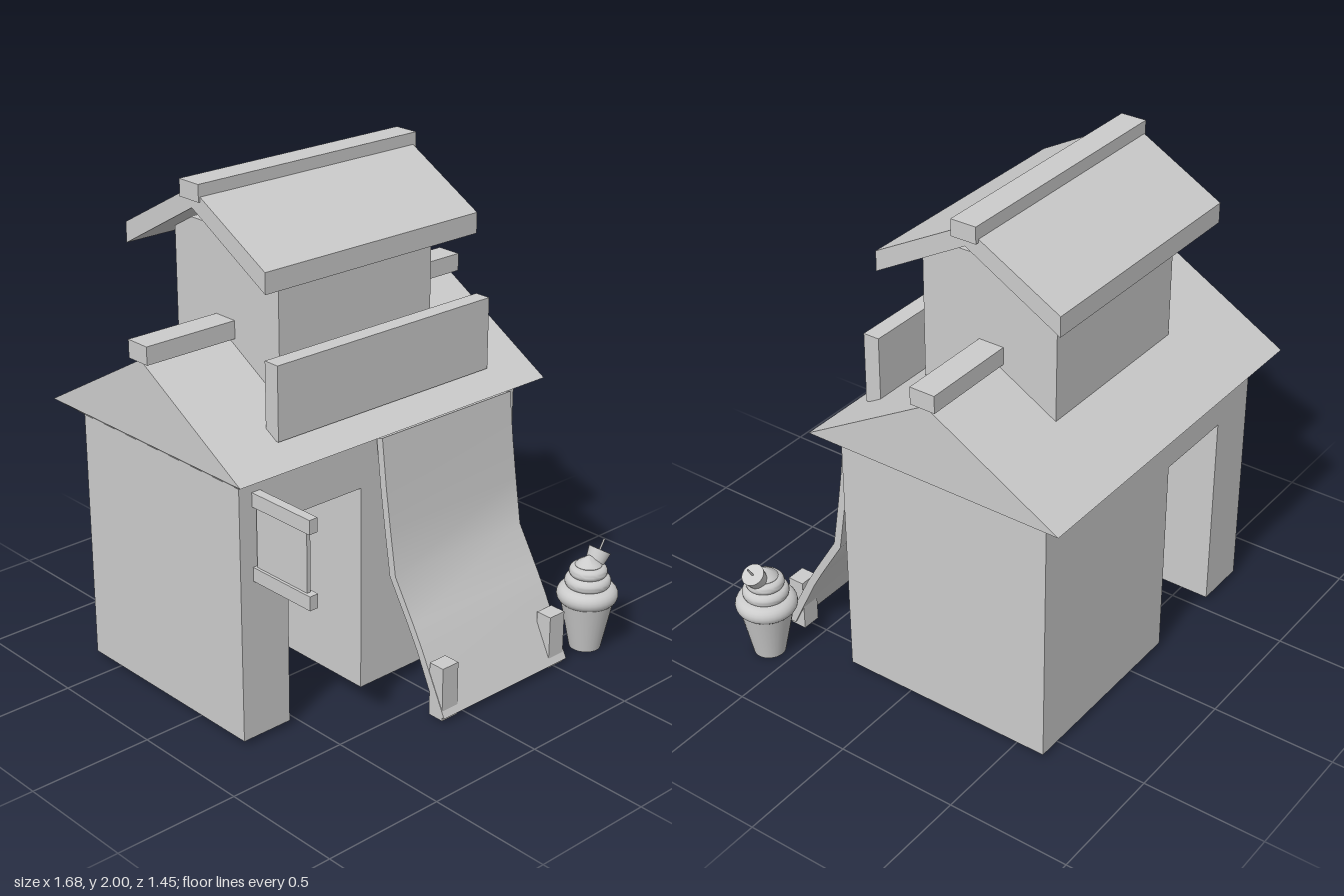
import * as THREE from 'three';
import { toCreasedNormals } from 'three/addons/utils/BufferGeometryUtils.js';

const material = new THREE.MeshStandardMaterial({ color: 0xcccccc });

function add(parent, name, geometry) {
  const mesh = new THREE.Mesh(geometry, material);
  mesh.name = name;
  parent.add(mesh);
  return mesh;
}

// Box given by its limits on each axis
function box(parent, name, [x0, x1], [y0, y1], [z0, z1]) {
  const g = new THREE.BoxGeometry(x1 - x0, y1 - y0, z1 - z0);
  g.translate((x0 + x1) / 2, (y0 + y1) / 2, (z0 + z1) / 2);
  return add(parent, name, g);
}

const shapeOf = (pts) => new THREE.Shape(pts.map(([a, b]) => new THREE.Vector2(a, b)));

// Side profile of [z, y] points swept along x
function sweepX(pts, x0, x1) {
  const g = new THREE.ExtrudeGeometry(shapeOf(pts), { depth: x1 - x0, bevelEnabled: false });
  return g.rotateY(-Math.PI / 2).translate(x1, 0, 0);
}

// Solid gable roof whose underside tapers in to the wall tops
function mainRoofGeometry() {
  const ring = (x0, x1, y, z0, z1) => [[x0, y, z1], [x1, y, z1], [x1, y, z0], [x0, y, z0]];
  const v = [
    ...ring(-0.765, 0.61, 1.03, -0.63, 0.275), // 0-3 wall tops
    ...ring(-0.835, 0.677, 1.085, -0.725, 0.37), // 4-7 eaves
    [-0.835, 1.4, -0.168], [0.677, 1.4, -0.168], // 8-9 ridge
  ];
  const index = [4, 5, 9, 4, 9, 8, 6, 7, 8, 6, 8, 9, 5, 6, 9, 7, 4, 8, 0, 3, 2, 0, 2, 1];
  for (let i = 0; i < 4; i++) {
    const j = (i + 1) % 4;
    index.push(i, j, 4 + j, i, 4 + j, 4 + i);
  }
  const g = new THREE.BufferGeometry();
  g.setAttribute('position', new THREE.Float32BufferAttribute(v.flat(), 3));
  g.setIndex(index);
  const flat = g.toNonIndexed();
  flat.computeVertexNormals();
  return flat;
}

function createHouse() {
  const house = new THREE.Group();
  house.name = 'house';

  // Walls with a passage running front to back
  const front = shapeOf([
    [-0.765, 0.02], [-0.547, 0.02], [-0.547, 0.855], [-0.19, 0.855],
    [-0.19, 0.02], [0.61, 0.02], [0.61, 1.03], [-0.765, 1.03],
  ]);
  const walls = new THREE.ExtrudeGeometry(front, { depth: 0.905, bevelEnabled: false });
  add(house, 'walls', walls.translate(0, 0, -0.63));

  add(house, 'mainRoof', mainRoofGeometry());
  box(house, 'mainRidgeBeam', [-0.845, 0.69], [1.395, 1.465], [-0.22, -0.115]);

  // Upper storey with its open slab roof
  box(house, 'upperStorey', [-0.45, 0.293], [1.1, 1.8], [-0.447, 0.13]);
  add(house, 'upperRoof', sweepX([
    [0.23, 1.685], [0.23, 1.765], [-0.16, 1.98], [-0.552, 1.765], [-0.552, 1.685], [-0.16, 1.905],
  ], -0.593, 0.43));
  box(house, 'upperRidgeBeam', [-0.6, 0.445], [1.935, 2], [-0.217, -0.112]);

  box(house, 'signBoard', [-0.578, 0.465], [1.15, 1.435], [0.203, 0.27]);
  return house;
}

// Sloping chute curving out from under the eaves, with two feet
function createChute() {
  const chute = new THREE.Group();
  chute.name = 'chute';
  const face = [
    [0.312, 1.045], [0.335, 0.85], [0.357, 0.7], [0.387, 0.51], [0.487, 0.345], [0.535, 0.26], [0.655, 0.02],
  ];
  const back = face.map(([z, y]) => [z - 0.03, y - 0.01]).reverse();
  back[0] = [0.615, 0.02];
  add(chute, 'chuteSheet', toCreasedNormals(sweepX([...face, ...back], -0.12, 0.553), 0.5));
  for (const x of [-0.118, 0.465]) {
    box(chute, 'chuteFoot', [x, x + 0.08], [0.005, 0.225], [0.573, 0.642]);
  }
  return chute;
}

// Thin panel held between two bars beside the passage
function createHangingSign() {
  const sign = new THREE.Group();
  sign.name = 'hangingSign';
  box(sign, 'hangingPanel', [-0.696, -0.68], [0.7, 0.955], [0.285, 0.55]);
  for (const y of [0.655, 0.945]) {
    box(sign, 'hangingBar', [-0.707, -0.67], [y, y + 0.055], [0.27, 0.577]);
  }
  return sign;
}

function createIceCream() {
  const ice = new THREE.Group();
  ice.name = 'iceCream';
  const lathe = (pts, n) => toCreasedNormals(
    new THREE.LatheGeometry(pts.map(([r, y]) => new THREE.Vector2(r, y)), n), 0.9);

  add(ice, 'cone', lathe([[0, 0], [0.063, 0], [0.105, 0.205], [0, 0.205]], 32));

  // Stacked rounded tiers: [radius, bottom, top]
  const tiers = [[0.122, 0.195, 0.27], [0.092, 0.262, 0.316], [0.076, 0.308, 0.356]];
  for (const [r, y0, y1] of tiers) {
    const h = (y1 - y0) / 2;
    const pts = [[0, y0]];
    for (let i = 0; i <= 10; i++) {
      const a = -Math.PI / 2 + (i / 10) * Math.PI;
      pts.push([r - h + h * Math.cos(a), y0 + h + h * Math.sin(a)]);
    }
    pts.push([0, y1]);
    add(ice, 'creamTier', lathe(pts, 32));
  }
  add(ice, 'creamTip', lathe([[0, 0.345], [0.05, 0.345], [0.053, 0.358], [0.043, 0.37], [0.015, 0.388], [0, 0.398]], 24));

  // Tilted topping with a thin stick
  const topping = new THREE.Group();
  topping.name = 'topping';
  add(topping, 'toppingCup', new THREE.CylinderGeometry(0.046, 0.034, 0.075, 24));
  add(topping, 'toppingStick', new THREE.CylinderGeometry(0.004, 0.004, 0.05, 8)).position.y = 0.058;
  topping.position.set(0.044, 0.369, 0);
  topping.rotation.z = -0.56;
  ice.add(topping);

  ice.position.set(0.717, 0, 0.607);
  return ice;
}

export function createModel() {
  const model = new THREE.Group();
  model.name = 'iceCreamHouse';
  model.add(createHouse(), createChute(), createHangingSign(), createIceCream());
  return model;
}
